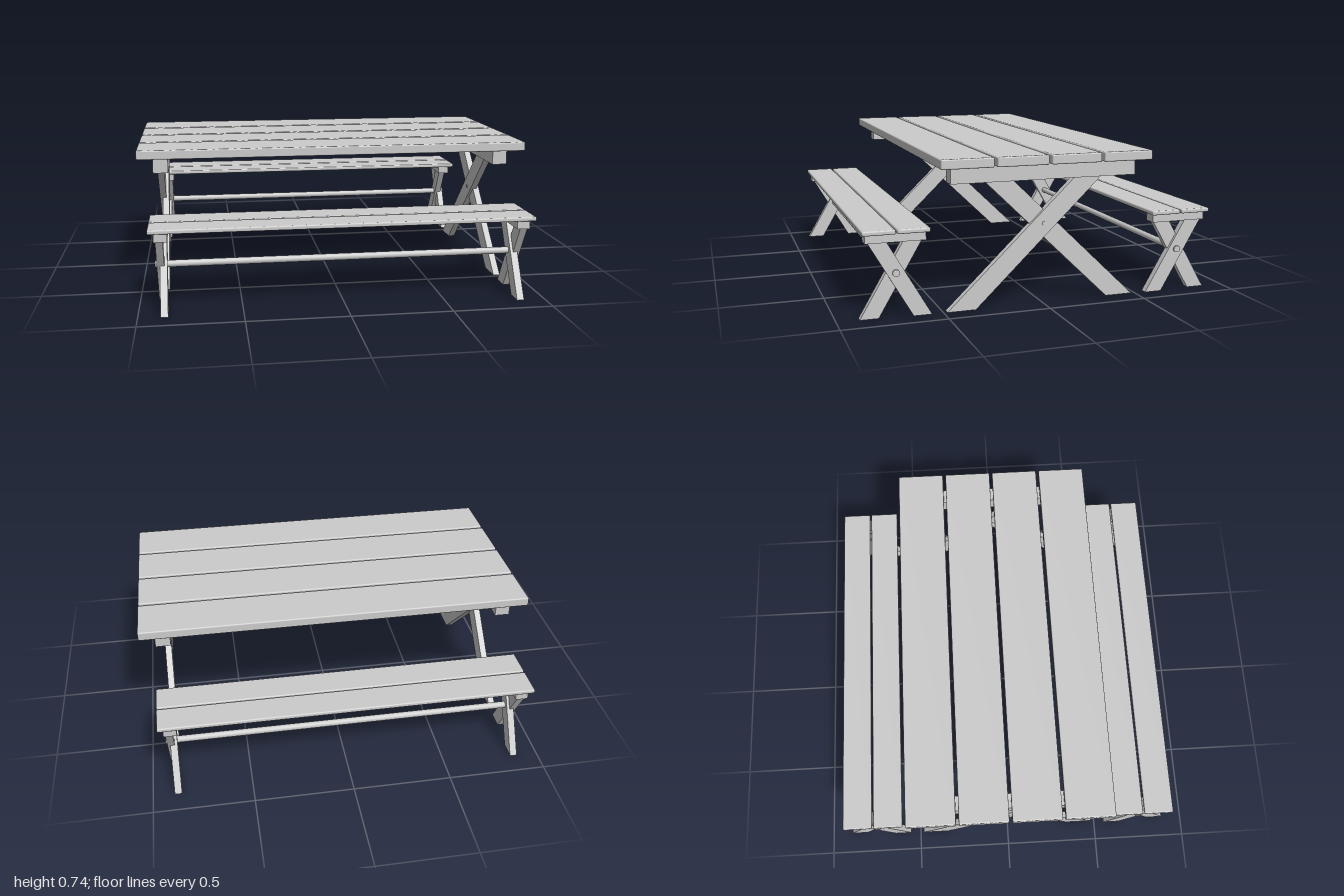
import * as THREE from 'three';
import { RoundedBoxGeometry } from 'three/addons/geometries/RoundedBoxGeometry.js';

const material = new THREE.MeshStandardMaterial({ color: 0xcccccc });

function add(group, name, geometry, x, y, z) {
  const mesh = new THREE.Mesh(geometry, material);
  mesh.name = name;
  mesh.position.set(x, y, z);
  group.add(mesh);
  return mesh;
}

// Plank with softened edges
function plank(group, name, length, y0, y1, z, width) {
  const g = new RoundedBoxGeometry(length, y1 - y0, width, 2, 0.007);
  add(group, name, g, 0, (y0 + y1) / 2, z);
}

// Slanted board with level ends, running from z = foot to z = head
function leg(group, name, x, z, foot, head, width, height, thickness) {
  const h = width / 2;
  const shape = new THREE.Shape([
    new THREE.Vector2(foot - h, 0), new THREE.Vector2(foot + h, 0),
    new THREE.Vector2(head + h, height), new THREE.Vector2(head - h, height),
  ]);
  const g = new THREE.ExtrudeGeometry(shape, { depth: thickness, bevelEnabled: false });
  g.translate(0, 0, -thickness / 2);
  g.rotateY(-Math.PI / 2);
  add(group, name, g, x, 0, z);
}

// Round rod along x
function rod(group, name, radius, length, x, y, z) {
  const g = new THREE.CylinderGeometry(radius, radius, length, 20);
  g.rotateZ(Math.PI / 2);
  add(group, name, g, x, y, z);
}

function createTable() {
  const table = new THREE.Group();
  table.name = 'table';
  for (let i = 0; i < 4; i++) {
    plank(table, 'tablePlank', 2, 0.69, 0.737, -0.395 + i * 0.267, 0.252);
  }
  for (const s of [1, -1]) {
    const x = s * 0.885;
    add(table, 'tableCrossbeam', new THREE.BoxGeometry(0.076, 0.08, 0.935), x, 0.65, 0);
    // Crossed legs lapped side by side, the ends being a half turn apart
    leg(table, 'tableLegOuter', x + s * 0.007, 0, s * 0.412, s * -0.225, 0.14, 0.611, 0.035);
    leg(table, 'tableLegInner', x - s * 0.007, 0, s * -0.412, s * 0.225, 0.14, 0.611, 0.035);
    rod(table, 'tableBolt', 0.01, 0.056, x, 0.395, 0);
  }
  return table;
}

function createBench(side) {
  const bench = new THREE.Group();
  bench.name = side > 0 ? 'frontBench' : 'backBench';
  const z = side * 0.724;
  for (const s of [1, -1]) {
    plank(bench, 'benchPlank', 1.884, 0.4, 0.422, z + s * 0.081, 0.154);
    const x = s * 0.882;
    add(bench, 'benchCrossbeam', new THREE.BoxGeometry(0.064, 0.042, 0.285), x, 0.38, z);
    leg(bench, 'benchLegInner', x - s * 0.007, z, side * 0.125, side * -0.085, 0.088, 0.36, 0.036);
    leg(bench, 'benchLegOuter', x + s * 0.007, z, side * -0.125, side * 0.085, 0.088, 0.36, 0.036);
  }
  // Stretcher through both pairs of legs
  rod(bench, 'benchStretcher', 0.017, 1.832, 0, 0.213, z);
  return bench;
}

export function createModel() {
  const model = new THREE.Group();
  model.name = 'picnicTableSet';
  model.add(createTable(), createBench(1), createBench(-1));
  return model;
}
